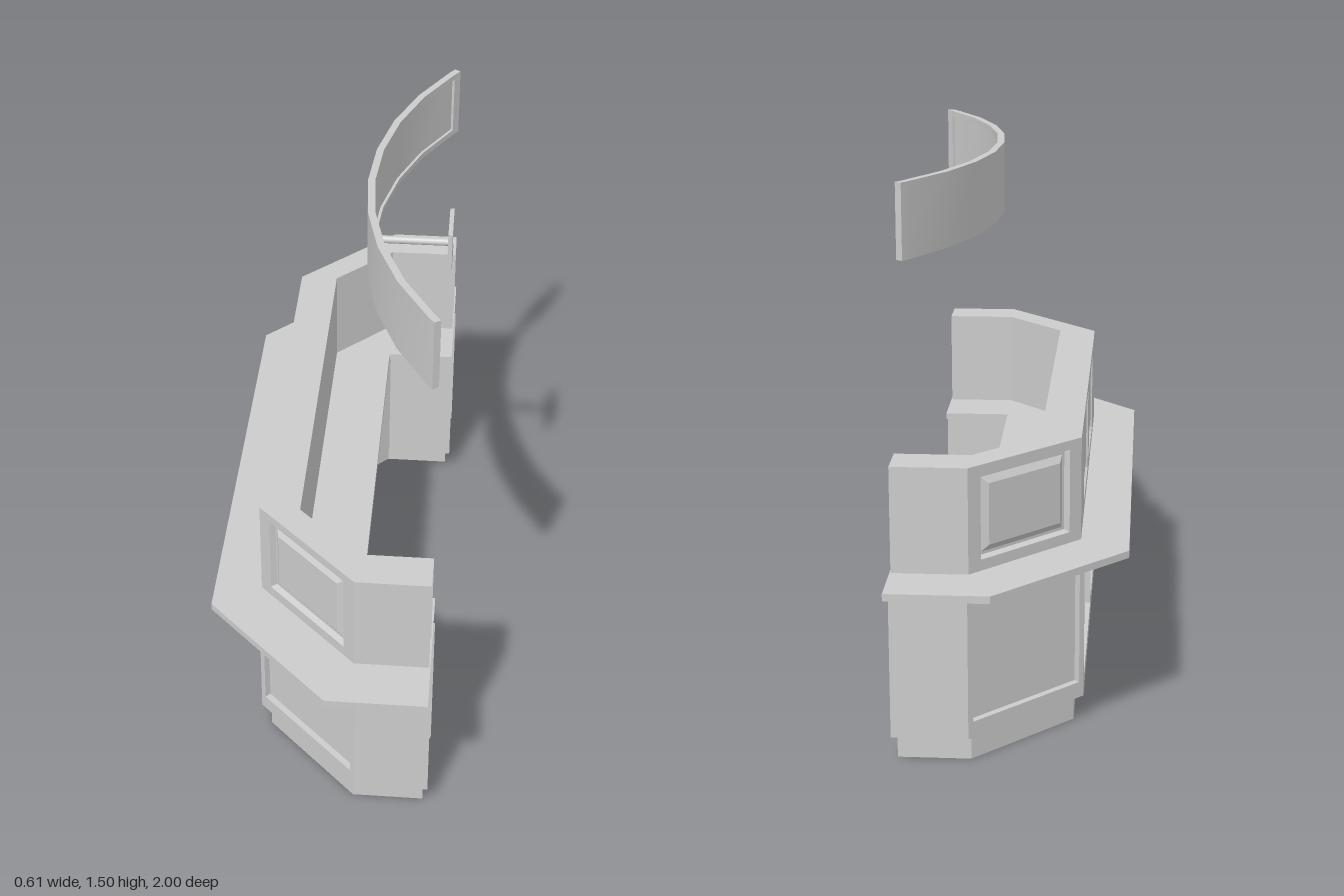
import * as THREE from 'three';
import { toCreasedNormals } from 'three/addons/utils/BufferGeometryUtils.js';

const material = new THREE.MeshStandardMaterial({ color: 0xcccccc, side: THREE.DoubleSide });

function mesh(name, geometry) {
  const m = new THREE.Mesh(geometry, material);
  m.name = name;
  return m;
}

// Surface through rows of points; flat unless a crease angle is given
function skin(rows, crease = 0) {
  const positions = [];
  const tri = (a, b, c) => {
    if (new THREE.Triangle(a, b, c).getArea() > 1e-8) for (const p of [a, b, c]) positions.push(p.x, p.y, p.z);
  };
  for (let i = 0; i < rows.length - 1; i++) {
    const a = rows[i], b = rows[i + 1];
    for (let j = 0; j < a.length - 1; j++) {
      tri(a[j], b[j], b[j + 1]);
      tri(a[j], b[j + 1], a[j + 1]);
    }
  }
  const g = new THREE.BufferGeometry();
  g.setAttribute('position', new THREE.Float32BufferAttribute(positions, 3));
  g.computeVertexNormals();
  return crease ? toCreasedNormals(g, crease) : g;
}

// Counter plan line: three [x, z] corners at the -z end, mirrored to +z
function plan(...corners) {
  return [...corners.map(([x, z]) => [x, -z]), ...corners.slice().reverse()];
}
const at = (path, y) => path.map(([x, z]) => new THREE.Vector3(x, y, z));

const slabOuter = plan([0.3, 1], [0.03, 1], [-0.31, 0.655]);
const slabInner = plan([0.3, 0.58], [0.1, 0.58], [0.1, 0.58]);
const upperOuter = plan([0.297, 0.855], [0.097, 0.855], [-0.18, 0.575]);
const upperInner = plan([0.297, 0.745], [0.097, 0.745], [-0.07, 0.575]);
const lowerOuter = plan([0.304, 0.865], [0.1, 0.865], [-0.19, 0.575]);
const lowerInner = plan([0.304, 0.66], [0.1, 0.66], [0.015, 0.575]);
const kickOuter = plan([0.29, 0.835], [0.095, 0.835], [-0.163, 0.575]);
const kickInner = plan([0.29, 0.705], [0.095, 0.705], [-0.03, 0.575]);

// Nested rectangles [inset, depth] forming a recessed panel
function panelGeometry([x0, x1, y0, y1], steps) {
  const rows = steps.map(([s, d]) => [
    [x0 + s, y0 + s], [x1 - s, y0 + s], [x1 - s, y1 - s], [x0 + s, y1 - s], [x0 + s, y0 + s],
  ].map(([x, y]) => new THREE.Vector3(x, y, -d)));
  const [a, b, c, d] = rows[rows.length - 1];
  rows.push([a, a, b, b, a]);
  const g = skin(rows.slice(0, -1));
  const cap = skin([[a, b], [d, c]]);
  return [g, cap];
}

// Outer wall made of five flat facets, each with its panel openings
function panelledWall(name, path, y0, y1, panelY, steps, panelsFor) {
  const wall = new THREE.Group();
  wall.name = name;
  for (let i = 0; i < path.length - 1; i++) {
    const [ax, az] = path[i], [bx, bz] = path[i + 1];
    const width = Math.hypot(bx - ax, bz - az);
    const facet = new THREE.Group();
    facet.name = 'wallFacet';
    facet.position.set((ax + bx) / 2, 0, (az + bz) / 2);
    facet.rotation.y = Math.atan2(az - bz, bx - ax);
    const h = width / 2;
    const shape = new THREE.Shape([[-h, y0], [h, y0], [h, y1], [-h, y1]].map(p => new THREE.Vector2(...p)));
    for (const [x0, x1] of panelsFor(i, h)) {
      const [p, q] = panelY;
      shape.holes.push(new THREE.Path([[x0, p], [x0, q], [x1, q], [x1, p]].map(v => new THREE.Vector2(...v))));
      for (const g of panelGeometry([x0, x1, p, q], steps)) facet.add(mesh('panel', g));
    }
    facet.add(mesh('panelFrame', new THREE.ShapeGeometry(shape)));
    wall.add(facet);
  }
  return wall;
}

// Curved sign board: closed cross-section swept along an arc, recessed on its inner face
function signBoard() {
  const R = 1.19, cx = 1.255, y0 = 1.3, y1 = 1.5, rim = 0.016, thick = 0.02;
  const end = THREE.MathUtils.degToRad(34.6), inner = THREE.MathUtils.degToRad(33.2);
  const section = (angle, depth) => {
    const r = R - thick;
    return [
      [R, y0], [R, y1], [r, y1], [r, y1 - rim], [r + depth, y1 - rim],
      [r + depth, y0 + rim], [r, y0 + rim], [r, y0], [R, y0],
    ].map(([d, y]) => new THREE.Vector3(cx - d * Math.cos(angle), y, d * Math.sin(angle)));
  };
  const rows = [section(-end, 0), section(-inner, 0)];
  for (let i = 0; i <= 8; i++) rows.push(section(-inner + (i * inner) / 4, 0.008));
  rows.push(section(inner, 0), section(end, 0));
  const board = new THREE.Group();
  board.name = 'signBoard';
  board.add(mesh('curvedBoard', skin(rows, 0.5)));
  for (const row of [rows[0], rows[rows.length - 1]]) {
    board.add(mesh('boardEnd', skin([[row[0], row[1]], [row[7], row[2]]])));
  }
  return board;
}

export function createModel() {
  const model = new THREE.Group();
  model.name = 'receptionCounter';

  // Kick base, open underneath
  model.add(mesh('kickOuter', skin([at(kickOuter, 0), at(kickOuter, 0.07)])));
  model.add(mesh('kickInner', skin([at(kickInner, 0), at(kickInner, 0.07)])));

  // Lower cabinet, open at both ends
  model.add(mesh('lowerOuterLip', skin([at(kickOuter, 0.07), at(lowerOuter, 0.07)])));
  model.add(mesh('lowerInnerLip', skin([at(kickInner, 0.07), at(lowerInner, 0.07)])));
  model.add(mesh('lowerInnerWall', skin([at(lowerInner, 0.07), at(lowerInner, 0.505)])));
  model.add(panelledWall('lowerOuterWall', lowerOuter, 0.07, 0.505, [0.115, 0.475],
    [[0, 0], [0, 0.018]],
    (i, h) => {
      if (i === 2) return [[-h + 0.015, -0.01], [0.01, h - 0.015]];
      return i === 1 || i === 3 ? [[-h + 0.017, h - 0.017]] : [];
    }));

  // Counter slab
  model.add(mesh('counterSlab', skin([
    at(slabInner, 0.505), at(slabOuter, 0.505), at(slabOuter, 0.525), at(slabInner, 0.525), at(slabInner, 0.505),
  ])));

  // Raised upper wall, open at both ends
  model.add(mesh('upperTopAndInnerWall', skin([at(upperOuter, 0.81), at(upperInner, 0.81), at(upperInner, 0.525)])));
  model.add(panelledWall('upperOuterWall', upperOuter, 0.525, 0.81, [0.555, 0.785],
    [[0, 0], [0.006, 0.016], [0.014, 0.016], [0.032, 0.004]],
    (i) => {
      if (i === 2) return [[-0.355, -0.045], [0.045, 0.355]];
      return i === 1 || i === 3 ? [[-0.155, 0.155]] : [];
    }));

  // Hanging curved sign with its wall bracket
  model.add(signBoard());
  const rod = mesh('bracketRod', new THREE.CylinderGeometry(0.011, 0.011, 0.224, 16));
  rod.rotation.z = Math.PI / 2;
  rod.position.set(0.19, 1.315, 0);
  const plate = mesh('bracketPlate', new THREE.BoxGeometry(0.012, 0.13, 0.142));
  plate.position.set(0.295, 1.315, 0);
  model.add(rod, plate);

  return model;
}
